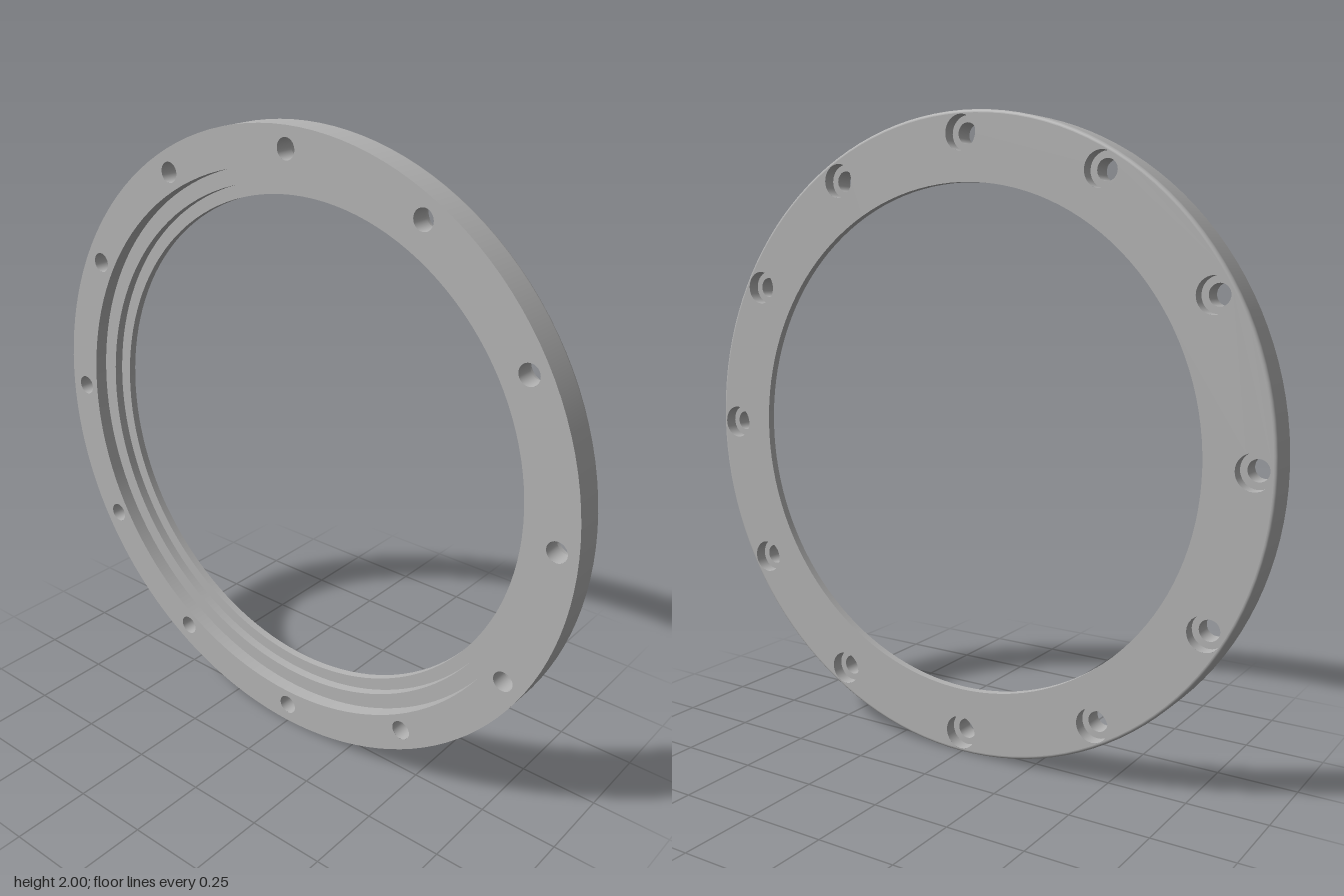
import * as THREE from 'three';

const SEG = 128, HOLES = 12, BOLT_R = 0.935, HOLE_R = 0.032, BORE_R = 0.053;
const FRONT = 0.05, BACK = -0.05, BORE_FLOOR = -0.01, FILLET = 0.01;

export function createModel() {
  const steel = new THREE.MeshStandardMaterial({ color: 0xb4b4b4 });
  steel.name = 'steel grey';
  const ring = new THREE.Group();
  ring.name = 'flangeRing';

  const add = (name, geometry, parent = ring) => {
    const mesh = new THREE.Mesh(geometry, steel);
    mesh.name = name;
    parent.add(mesh);
    return mesh;
  };

  // Surface of revolution about z from [radius, z] points
  const turned = (name, points, parent) => add(name,
    new THREE.LatheGeometry(points.map(([r, z]) => new THREE.Vector2(r, z)), SEG).rotateX(Math.PI / 2), parent);

  // Flat annulus, optionally pierced by the bolt circle
  const annulus = (outer, inner, holeR) => {
    const shape = new THREE.Shape().absarc(0, 0, outer, 0, Math.PI * 2, false);
    const cut = (x, y, r) => shape.holes.push(new THREE.Path().absarc(x, y, r, 0, Math.PI * 2, true));
    cut(0, 0, inner);
    for (let i = 0; i < HOLES; i++) {
      const a = i * Math.PI * 2 / HOLES;
      cut(BOLT_R * Math.cos(a), BOLT_R * Math.sin(a), holeR);
    }
    return new THREE.ShapeGeometry(shape, SEG / 2);
  };

  // Outer rim with its rounded back edge
  const rim = [];
  for (let i = 0; i <= 6; i++) {
    const a = (i / 6) * Math.PI / 2;
    rim.push([1 - FILLET + FILLET * Math.sin(a), BACK + FILLET - FILLET * Math.cos(a)]);
  }
  rim.push([1, BACK + FILLET + 0.001], [1, FRONT]);
  turned('outerRim', rim);

  // Stepped inner bore, one piece per sharp-edged face
  const steps = [[0.88, FRONT], [0.88, 0.005], [0.83, 0.005], [0.83, -0.025], [0.79, -0.025], [0.79, BACK]];
  for (let i = 0; i < steps.length - 1; i++) {
    turned(i % 2 ? 'boreLedge' : 'boreWall', [steps[i], steps[i + 1]]);
  }

  // Front and back faces
  add('frontFace', annulus(1, 0.88, HOLE_R)).position.z = FRONT;
  add('backFace', annulus(1 - FILLET, 0.79, BORE_R).scale(1, 1, -1).rotateY(Math.PI)).position.z = BACK;

  // Counterbored bolt holes
  for (let i = 0; i < HOLES; i++) {
    const a = i * Math.PI * 2 / HOLES;
    const hole = new THREE.Group();
    hole.name = 'boltHole';
    hole.position.set(BOLT_R * Math.cos(a), BOLT_R * Math.sin(a), 0);
    const profile = [[HOLE_R, FRONT], [HOLE_R, BORE_FLOOR], [BORE_R, BORE_FLOOR], [BORE_R, BACK]];
    ['holeWall', 'counterboreFloor', 'counterboreWall'].forEach((name, k) => {
      const points = [profile[k], profile[k + 1]].map(([r, z]) => new THREE.Vector2(r, z));
      add(name, new THREE.LatheGeometry(points, 32).rotateX(Math.PI / 2), hole);
    });
    ring.add(hole);
  }

  ring.position.y = 1;
  const model = new THREE.Group();
  model.name = 'mountingRing';
  model.add(ring);
  return model;
}
